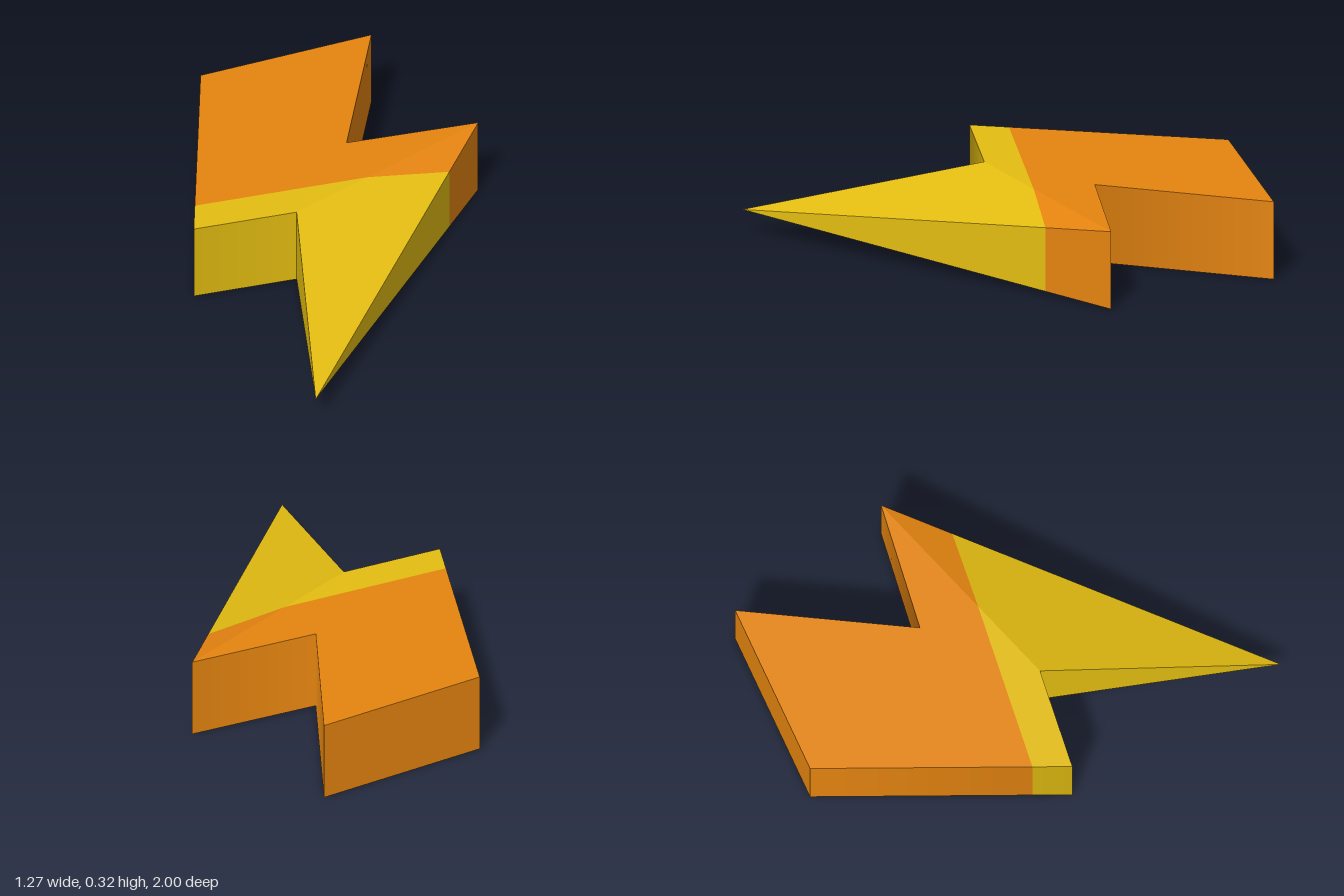
import * as THREE from 'three';

const H = 0.325;       // slab thickness
const SPLIT = -0.085;  // z where orange changes to yellow

// Bolt outline, clockwise from above
const A = [-0.33, -0.92], B = [0.39, -1], C = [0.1, -0.33], D = [0.635, -0.32];
const F = [-0.215, 0.065], G = [-0.635, 0.065];
const TIP = new THREE.Vector3(-0.4, 0.105, 1);

const lo = ([x, z]) => new THREE.Vector3(x, 0, z);
const hi = ([x, z]) => new THREE.Vector3(x, H, z);

// Area-weighted outward normal of a wall running from p to q
const wallNormal = (p, q) => new THREE.Vector3(q[1] - p[1], 0, p[0] - q[0]);
const softNormal = (p, q, r) => wallNormal(p, q).add(wallNormal(q, r)).normalize();

// A face is a convex loop of { p, n }
function face(points, normals = []) {
  const flat = new THREE.Plane().setFromCoplanarPoints(points[0], points[1], points[2]).normal;
  return points.map((p, i) => ({ p, n: normals[i] || flat }));
}

function wall(p, q, np, nq) {
  return face([lo(q), lo(p), hi(p), hi(q)], [nq, np, np, nq]);
}

// Keep the part of a face in front of (side = 1) or behind (side = -1) the colour split
function clip(loop, side) {
  const out = [];
  loop.forEach((a, i) => {
    const b = loop[(i + 1) % loop.length];
    const da = (a.p.z - SPLIT) * side, db = (b.p.z - SPLIT) * side;
    if (da >= 0) out.push(a);
    if (da * db < 0) {
      const t = da / (da - db);
      out.push({ p: a.p.clone().lerp(b.p, t), n: a.n.clone().lerp(b.n, t).normalize() });
    }
  });
  return out;
}

function surface(faces, side) {
  const pos = [], nor = [];
  for (const f of faces) {
    const loop = clip(f, side);
    for (let i = 1; i < loop.length - 1; i++) {
      for (const v of [loop[0], loop[i], loop[i + 1]]) {
        pos.push(...v.p.toArray());
        nor.push(...v.n.toArray());
      }
    }
  }
  const g = new THREE.BufferGeometry();
  g.setAttribute('position', new THREE.Float32BufferAttribute(pos, 3));
  g.setAttribute('normal', new THREE.Float32BufferAttribute(nor, 3));
  return g;
}

export function createModel() {
  const orange = new THREE.MeshStandardMaterial({ color: 0xe68510 });
  orange.name = 'orange';
  const yellow = new THREE.MeshStandardMaterial({ color: 0xe4bd11 });
  yellow.name = 'yellow';

  // Walls blend softly at the inner notch and the outer shoulder
  const nC = softNormal(B, C, D), nG = softNormal(F, G, A);

  // Flat slab: top and bottom in two convex pieces, plus its walls
  const slab = [wall(A, B), wall(B, C, undefined, nC), wall(C, D, nC),
    wall(F, G, undefined, nG), wall(G, A, nG)];
  for (const piece of [[A, B, C, G], [C, D, F, G]]) {
    slab.push(face(piece.map(lo)), face(piece.map(hi).reverse()));
  }

  // Spike tapering from the slab to a point
  const spike = [
    face([hi(F), TIP, hi(D)]),
    face([lo(D), TIP, lo(F)]),
    face([TIP, lo(D), hi(D)]),
    face([lo(F), TIP, hi(F)]),
  ];

  const group = new THREE.Group();
  group.name = 'lightningBolt';
  const parts = { slab, spike };
  for (const name in parts) {
    const back = new THREE.Mesh(surface(parts[name], -1), orange);
    back.name = name + 'Back';
    const front = new THREE.Mesh(surface(parts[name], 1), yellow);
    front.name = name + 'Front';
    group.add(back, front);
  }
  return group;
}
